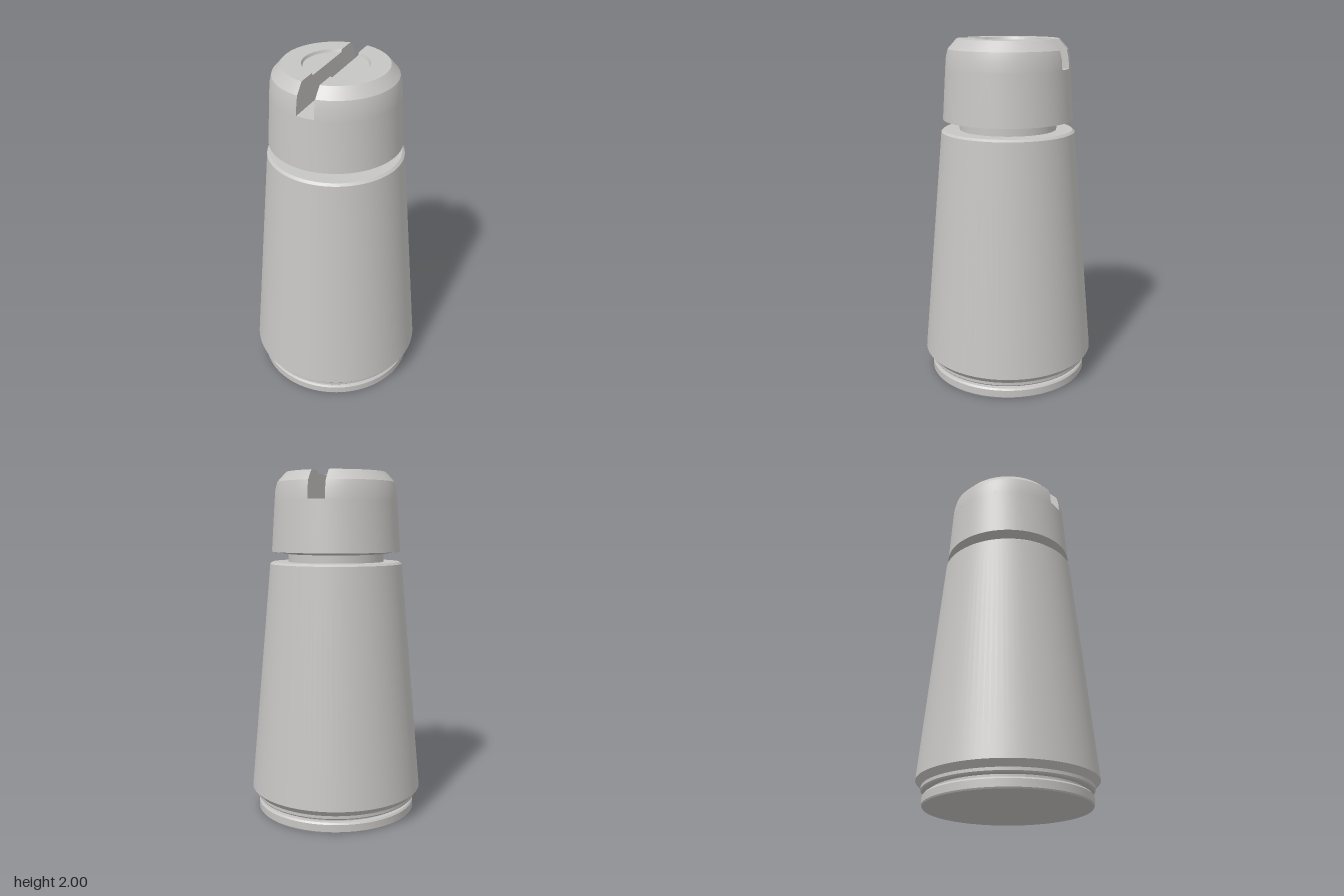
import * as THREE from 'three';
import { toCreasedNormals } from 'three/addons/utils/BufferGeometryUtils.js';

const SEGMENTS = 96;
const SLOT = 0.05;      // half width of the slot
const FLOOR = 1.84;     // height of the slot floor

export function createModel() {
  const group = new THREE.Group();
  const grey = new THREE.MeshStandardMaterial({ color: 0xc6c5c3 });
  grey.name = 'light grey';

  const add = (name, geometry, parent = group) => {
    const mesh = new THREE.Mesh(geometry, grey);
    mesh.name = name;
    parent.add(mesh);
  };
  const turned = (profile) => toCreasedNormals(
    new THREE.LatheGeometry(profile.map(([r, y]) => new THREE.Vector2(r, y)), SEGMENTS), 0.4);

  // Foot disc
  add('foot', turned([[0, 0], [0.465, 0], [0.47, 0.008], [0.47, 0.05], [0.462, 0.06], [0, 0.06]]));
  add('footGroove', turned([[0.435, 0.055], [0.435, 0.09]]));

  // Tapered body with chamfered rims
  add('body', turned([[0, 0.08], [0.47, 0.08], [0.477, 0.088], [0.477, 0.105], [0.508, 0.14],
    [0.386, 1.478], [0.372, 1.49], [0, 1.49]]));
  add('neck', turned([[0.28, 1.48], [0.28, 1.55]]));

  // Cap below the slot, closed by the slot floor
  add('capBase', turned([[0, 1.535], [0.28, 1.535], [0.375, 1.549], [0.356, FLOOR], [0, FLOOR]]));

  // Cap above the slot: outer wall, bevel, top and shallow round recess
  const top = [[0.356, FLOOR], [0.351, 1.9], [0.34, 1.944], [0.29, 2], [0.182, 2], [0.176, 1.985], [SLOT, 1.985]];
  const positions = [];
  const indices = [];
  const columns = SEGMENTS / 2;
  top.forEach(([r, y], j) => {
    const reach = Math.acos(Math.min(1, SLOT / r));
    for (let i = 0; i <= columns; i++) {
      const a = (2 * i / columns - 1) * reach;
      positions.push(r * Math.cos(a), y, r * Math.sin(a));
      if (j < top.length - 1 && i < columns) {
        const p = j * (columns + 1) + i;
        const q = p + columns + 1;
        indices.push(p, q, p + 1, p + 1, q, q + 1);
      }
    }
  });
  const shell = new THREE.BufferGeometry();
  shell.setAttribute('position', new THREE.Float32BufferAttribute(positions, 3));
  shell.setIndex(indices);
  const shellGeometry = toCreasedNormals(shell, 0.4);

  // Flat slot wall following the same profile
  const half = top.map(([r, y]) => new THREE.Vector2(Math.sqrt(Math.max(0, r * r - SLOT * SLOT)), y));
  const mirrored = half.slice(0, -1).reverse().map((p) => new THREE.Vector2(-p.x, p.y));
  const wall = new THREE.ShapeGeometry(new THREE.Shape([...half, ...mirrored]));
  wall.rotateY(-Math.PI / 2).translate(SLOT, 0, 0);

  for (const [name, turn] of [['leftCapHalf', 0], ['rightCapHalf', Math.PI]]) {
    const side = new THREE.Group();
    side.name = name;
    side.rotation.y = turn;
    add('capShell', shellGeometry, side);
    add('slotWall', wall, side);
    group.add(side);
  }
  return group;
}
